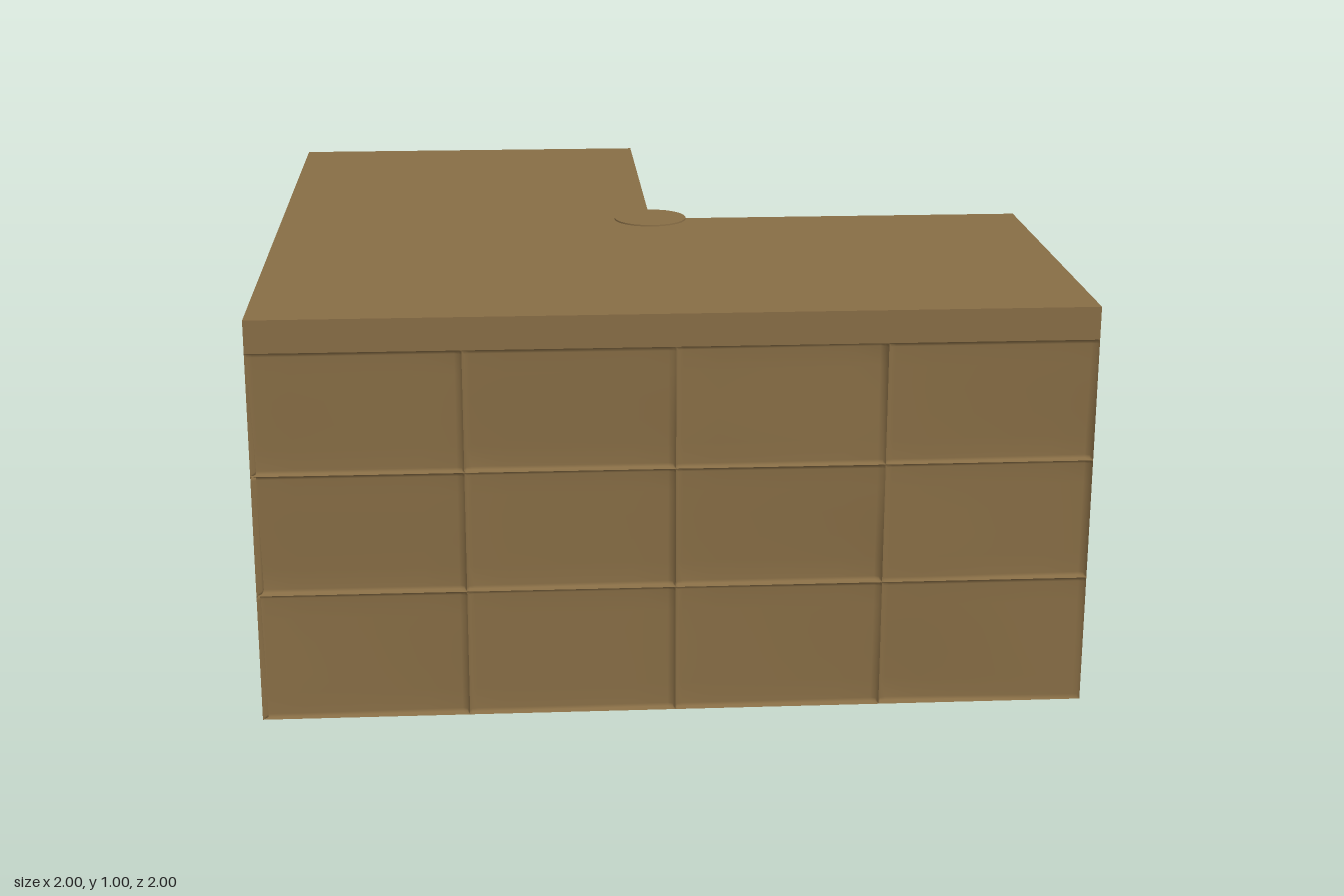
import * as THREE from 'three';

const stone = new THREE.MeshStandardMaterial({ color: 0x876d45, side: THREE.DoubleSide });
stone.name = 'sandstone';

// Small seeded random generator
let seed = 7;
const rand = () => {
  seed = (seed * 16807) % 2147483647;
  return seed / 2147483647;
};

function add(parent, name, geometry) {
  const mesh = new THREE.Mesh(geometry, stone);
  mesh.name = name;
  parent.add(mesh);
  return mesh;
}

// One stone block: a sheet with a narrow groove round it and an uneven, gently tilted face
const steps = [0, 0.012, 0.035, 0.2, 0.4, 0.6, 0.8, 0.965, 0.988, 1];
function blockGeometry(x, y, w, h) {
  const n = steps.length;
  const g = new THREE.PlaneGeometry(1, 1, n - 1, n - 1);
  const p = g.attributes.position;
  const c = [0, 1, 2, 3].map(() => 0.005 + 0.013 * rand());
  for (let j = 0; j < n; j++) {
    for (let i = 0; i < n; i++) {
      const u = steps[i], v = 1 - steps[j];
      const s = u * u * (3 - 2 * u), t = v * v * (3 - 2 * v);
      const face = (c[0] * (1 - s) + c[1] * s) * (1 - t) + (c[2] * (1 - s) + c[3] * s) * t;
      const edge = Math.min(i, j, n - 1 - i, n - 1 - j);
      const depth = edge === 0 ? 0 : edge === 1 ? face * 0.75 : face;
      p.setXYZ(j * n + i, x + u * w, y + v * h, depth);
    }
  }
  g.computeVertexNormals();
  return g;
}

// A wall of blocks along local x, bulging to local +z, with a plain band on top
const rows = [0, 0.32, 0.62, 0.92];
function makeWall(name, length) {
  const wall = new THREE.Group();
  wall.name = name;
  for (let r = 0; r < 3; r++) {
    for (let x = 0; x < length; x += 0.5) {
      add(wall, 'wallBlock', blockGeometry(x, rows[r], 0.5, rows[r + 1] - rows[r]));
    }
  }
  const band = new THREE.PlaneGeometry(length, 0.08);
  band.translate(length / 2, 0.96, 0);
  add(wall, 'topBand', band);
  return wall;
}

// L-shaped outline, drawn with -z as its second axis
function outline() {
  return new THREE.Shape(
    [[-1, -1], [1, -1], [1, 0], [0, 0], [0, 1], [-1, 1]].map(([x, y]) => new THREE.Vector2(x, y)));
}

export function createModel() {
  const model = new THREE.Group();
  model.name = 'corridorCorner';

  // Ceiling
  const ceiling = new THREE.ShapeGeometry(outline());
  ceiling.rotateX(-Math.PI / 2);
  add(model, 'ceiling', ceiling).position.y = 1;

  // Floor with raised square tiles, hollow underneath: x, z, size
  const tiles = [
    [-0.29, -0.56, 0.28], [0.42, 0.29, 0.28], [-0.45, 0.73, 0.28],
    [0.78, 0.38, 0.15], [-0.63, -0.2, 0.17], [-0.82, 0.68, 0.15],
    [-0.84, 0.4, 0.17], [-0.48, 0.21, 0.16], [-0.78, -0.59, 0.16], [0.72, 0.79, 0.16],
  ];
  const floorShape = outline();
  for (const [x, z, s] of tiles) {
    const h = s / 2;
    floorShape.holes.push(new THREE.Path(
      [[-h, -h], [-h, h], [h, h], [h, -h]].map(([a, b]) => new THREE.Vector2(x + a, -z + b))));
    const tile = new THREE.BoxGeometry(s, 0.008, s);
    const index = Array.from(tile.index.array);
    index.splice(18, 6); // leave the underside open
    tile.setIndex(index);
    tile.clearGroups();
    add(model, 'floorTile', tile).position.set(x, 0.004, z);
  }
  const floor = new THREE.ShapeGeometry(floorShape);
  floor.rotateX(-Math.PI / 2);
  add(model, 'floor', floor);

  // Walls: name, length, x, z, turn
  const walls = [
    ['frontWall', 2, 1, 1, Math.PI],
    ['rightWall', 2, -1, 1, Math.PI / 2],
    ['innerBackWall', 1, 0, 0, 0],
    ['innerSideWall', 1, 0, -1, -Math.PI / 2],
  ];
  for (const [name, length, x, z, turn] of walls) {
    const wall = makeWall(name, length);
    wall.position.set(x, 0, z);
    wall.rotation.y = turn;
    model.add(wall);
  }

  // Corner column: shaft pieces, rings and cap
  const column = new THREE.Group();
  column.name = 'column';
  model.add(column);
  const lathe = (name, pts) =>
    add(column, name, new THREE.LatheGeometry(pts.map(([r, y]) => new THREE.Vector2(r, y)), 24));
  lathe('lowerShaft', [[0.1, 0.06], [0.098, 0.19], [0.1, 0.32]]);
  lathe('middleShaft', [[0.1, 0.33], [0.096, 0.46], [0.1, 0.6]]);
  lathe('upperShaft', [[0.1, 0.61], [0.096, 0.76], [0.103, 0.92], [0.097, 1.004]]);
  for (const [y0, y1] of [[0, 0.06], [0.315, 0.338], [0.59, 0.615]]) {
    const m = 0.006;
    lathe('columnRing', [[0.095, y0], [0.11, y0], [0.115, y0 + m], [0.115, y1 - m], [0.11, y1], [0.095, y1]]);
  }
  const cap = new THREE.CircleGeometry(0.097, 24);
  cap.rotateX(-Math.PI / 2);
  add(column, 'columnCap', cap).position.y = 1.004;

  return model;
}
